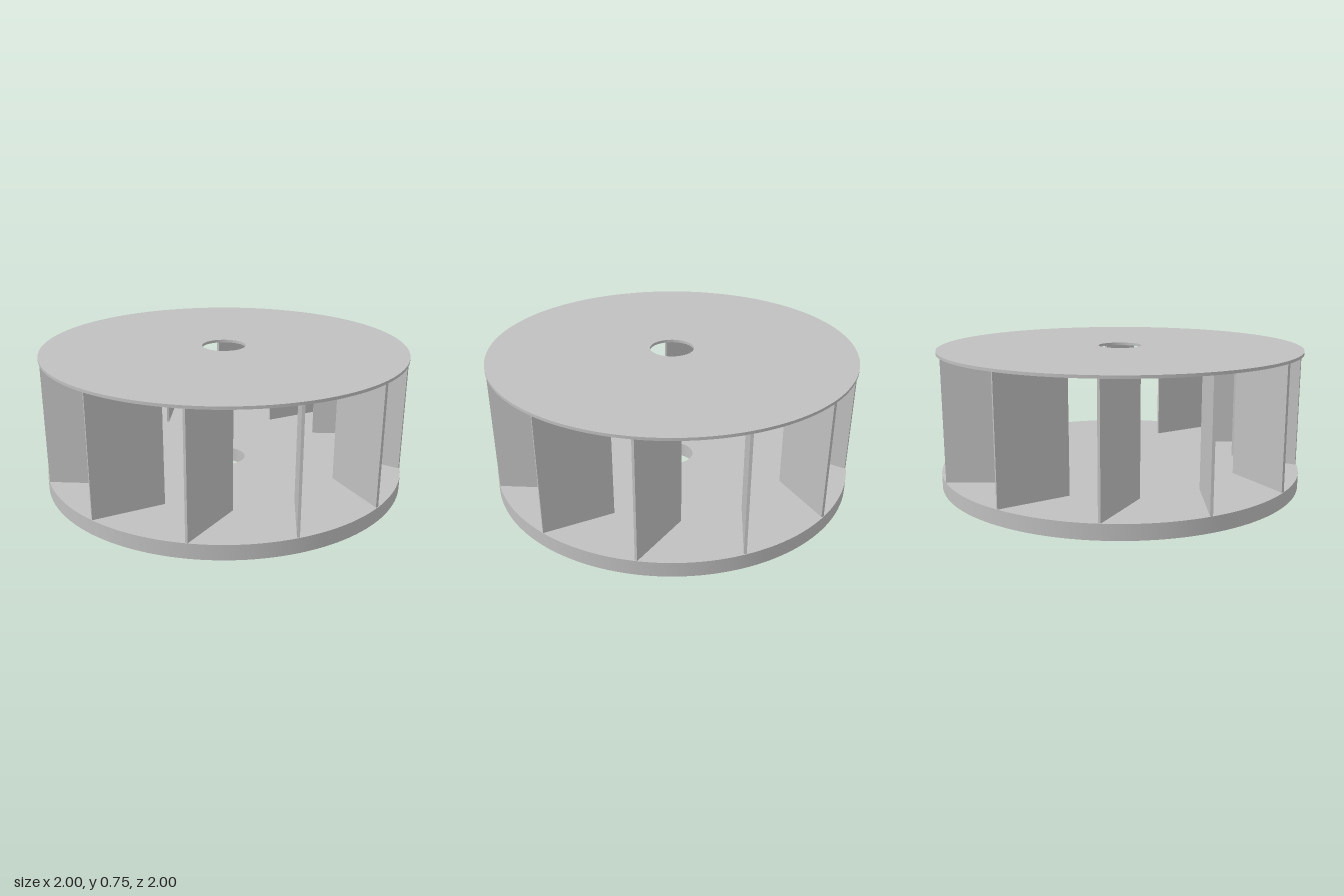
import * as THREE from 'three';
import { toCreasedNormals } from 'three/addons/utils/BufferGeometryUtils.js';

const OUTER = 1, BORE = 0.12, BLADES = 12;
const BASE_TOP = 0.08, COVER_BOTTOM = 0.73, HEIGHT = 0.745;

// Flat round plate with a central bore, between two heights
function ringPlate(name, y0, y1, material) {
  const shape = new THREE.Shape().absarc(0, 0, OUTER, 0, Math.PI * 2);
  shape.holes.push(new THREE.Path().absarc(0, 0, BORE, 0, Math.PI * 2, true));
  const geometry = new THREE.ExtrudeGeometry(shape, {
    depth: y1 - y0, bevelEnabled: false, curveSegments: 72,
  });
  geometry.rotateX(-Math.PI / 2);
  geometry.translate(0, y0, 0);
  const mesh = new THREE.Mesh(toCreasedNormals(geometry, 0.5), material);
  mesh.name = name;
  return mesh;
}

export function createModel() {
  const metal = new THREE.MeshStandardMaterial({ color: 0xc0c0c0 });
  metal.name = 'grey metal';

  const impeller = new THREE.Group();
  impeller.name = 'impeller';
  impeller.add(ringPlate('basePlate', 0, BASE_TOP, metal));
  impeller.add(ringPlate('coverPlate', COVER_BOTTOM, HEIGHT, metal));

  // Straight blades, slanted from the rim towards an inner circle
  const tip = new THREE.Vector2(0, 0.996);
  const root = new THREE.Vector2(0.152, 0.65);
  const bladeGeometry = new THREE.BoxGeometry(0.014, COVER_BOTTOM - BASE_TOP, tip.distanceTo(root));
  bladeGeometry.rotateY(Math.atan2(tip.x - root.x, tip.y - root.y));
  bladeGeometry.translate((tip.x + root.x) / 2, (BASE_TOP + COVER_BOTTOM) / 2, (tip.y + root.y) / 2);

  const blades = new THREE.Group();
  blades.name = 'blades';
  for (let i = 0; i < BLADES; i++) {
    const blade = new THREE.Mesh(bladeGeometry, metal);
    blade.name = `blade${i + 1}`;
    blade.rotation.y = (i / BLADES) * Math.PI * 2;
    blades.add(blade);
  }
  impeller.add(blades);
  return impeller;
}
